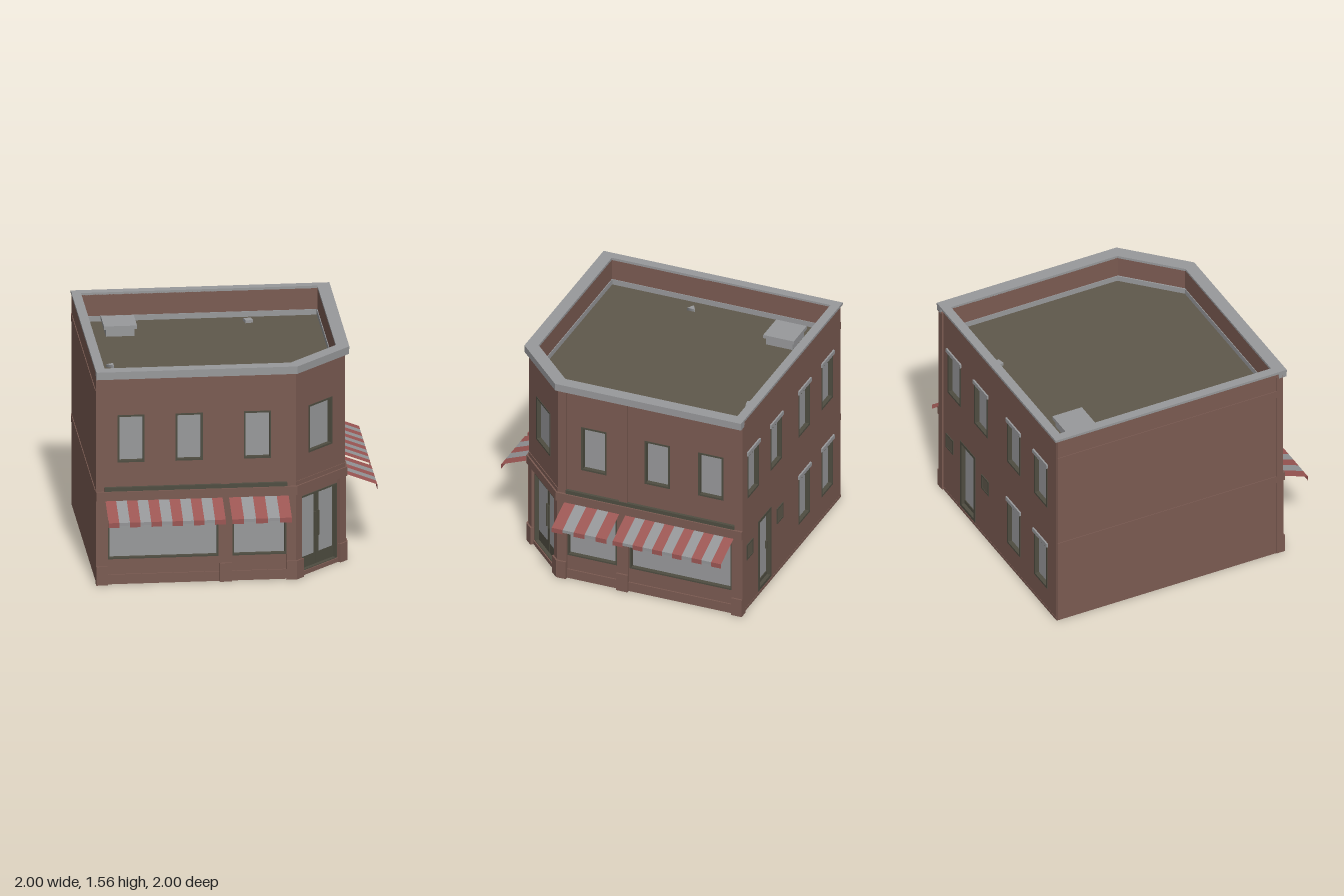
import * as THREE from 'three';

const mat = (name, color, side = THREE.FrontSide) => {
  const m = new THREE.MeshStandardMaterial({ color, side });
  m.name = name;
  return m;
};

export function createModel() {
  const brick = mat('brick', 0x7b5b52);
  const grey = mat('paleGrey', 0x98999b);
  const olive = mat('darkOlive', 0x4f4d41);
  const roofing = mat('roofing', 0x5f584b);
  const red = mat('awningRed', 0x9b5653, THREE.DoubleSide);
  const canvas = mat('awningGrey', 0x949597, THREE.DoubleSide);
  const model = new THREE.Group();
  model.name = 'cornerShop';

  const add = (parent, name, geo, material) => {
    const m = new THREE.Mesh(geo, material);
    m.name = name;
    parent.add(m);
    return m;
  };
  // Box given by its limits along each axis
  const box = (parent, name, material, x0, x1, y0, y1, z0, z1) => {
    const m = add(parent, name, new THREE.BoxGeometry(x1 - x0, y1 - y0, z1 - z0), material);
    m.position.set((x0 + x1) / 2, (y0 + y1) / 2, (z0 + z1) / 2);
    return m;
  };
  const outline = (pts) => pts.map(([x, y]) => new THREE.Vector2(x, y));
  const rect = ([x0, x1, y0, y1]) => outline([[x0, y0], [x1, y0], [x1, y1], [x0, y1]]);
  // Upright sheet with rectangular openings, between depths z0 and z1
  const sheet = (parent, name, material, r, holes, z0, z1) => {
    const s = new THREE.Shape(rect(r));
    holes.forEach((h) => s.holes.push(new THREE.Path(rect(h))));
    const m = add(parent, name, new THREE.ExtrudeGeometry(s, { depth: z1 - z0, bevelEnabled: false }), material);
    m.position.z = z0;
    return m;
  };
  // Flat plan outline in (x, z), between heights y0 and y1
  const slab = (name, material, pts, y0, y1, hole) => {
    const flip = (p) => outline(p.map(([x, z]) => [x, -z])).reverse();
    const s = new THREE.Shape(flip(pts));
    if (hole) s.holes.push(new THREE.Path(flip(hole)));
    const m = add(model, name, new THREE.ExtrudeGeometry(s, { depth: y1 - y0, bevelEnabled: false }), material);
    m.rotation.x = -Math.PI / 2;
    m.position.y = y0;
    return m;
  };
  const side = (name, angle) => {
    const g = new THREE.Group();
    g.name = name;
    g.rotation.y = angle;
    model.add(g);
    return g;
  };
  // Frame and recessed pane filling an opening in a wall whose face is at w
  const glaze = (g, r, w, t = 0.013) => {
    const [x0, x1, y0, y1] = r;
    const inner = [x0 + t, x1 - t, y0 + t, y1 - t];
    sheet(g, 'windowFrame', olive, r, [inner], w - 0.038, w + 0.003);
    box(g, 'windowPane', grey, ...inner, w - 0.037, w - 0.029);
  };
  // Striped awning with a hanging valance
  const awning = (g, x0, x1, count) => {
    const a = new THREE.Group();
    a.name = 'awning';
    g.add(a);
    const step = (x1 - x0) / count, drop = 0.09, reach = 0.235;
    for (let i = 0; i < count; i++) {
      const m = i % 2 ? canvas : red;
      const x = x0 + (i + 0.5) * step;
      const top = add(a, 'awningStripe', new THREE.PlaneGeometry(step, Math.hypot(drop, reach)), m);
      top.rotation.x = -Math.atan2(reach, drop);
      top.position.set(x, 0.615 - drop / 2, 1 - reach / 2);
      const h = i % 2 ? 0.022 : 0.035;
      const flap = add(a, 'awningValance', new THREE.PlaneGeometry(step, h), m);
      flap.position.set(x, 0.525 - h / 2, 1);
    }
  };

  // Two matching shop fronts, mirrored about the corner
  for (const s of [1, -1]) {
    const g = side(s > 0 ? 'frontFacade' : 'sideFacade', s > 0 ? 0 : Math.PI / 2);
    const span = (a, b) => (s > 0 ? [a, b] : [-b, -a]);
    const windows = [[-0.85, -0.66], [-0.445, -0.255], [0.03, 0.22]].map(([a, b]) => [...span(a, b), 0.885, 1.23]);
    const shops = [[-0.915, -0.145], [-0.05, 0.325]].map(([a, b]) => [...span(a, b), 0.18, 0.6]);
    sheet(g, 'wall', brick, [...span(-0.98, 0.38), 0, 1.545], [...windows, ...shops], 0.71, 0.755);
    windows.forEach((r) => glaze(g, r, 0.755));
    shops.forEach((r) => glaze(g, r, 0.755, 0.011));
    for (const [a, b] of [[-1, -0.94], [-0.13, -0.07], [0.33, 0.39]])
      box(g, 'upperPilaster', brick, ...span(a, b), 0.68, 1.52, 0.72, 0.77);
    for (const [a, b] of [[-1, -0.92], [-0.14, -0.055], [0.325, 0.395]]) {
      box(g, 'lowerPilaster', brick, ...span(a, b), 0, 0.62, 0.72, 0.775);
      box(g, 'pilasterBase', brick, ...span(a, b), 0, 0.135, 0.72, 0.788);
    }
    box(g, 'plinth', brick, ...span(-0.95, 0.36), 0, 0.07, 0.72, 0.765);
    box(g, 'beltCourse', brick, ...span(-1, 0.4), 0.615, 0.68, 0.72, 0.787);
    box(g, 'beltLedge', olive, ...span(-0.94, 0.33), 0.675, 0.708, 0.72, 0.777);
    awning(g, ...span(-0.935, -0.12), 11);
    awning(g, ...span(-0.075, 0.34), 5);
  }

  // Cut corner: flush upper wall, recessed double doors below
  const corner = side('cornerEntrance', Math.PI / 4);
  const cornerWindow = [-0.128, 0.128, 0.885, 1.23];
  sheet(corner, 'upperWall', brick, [-0.268, 0.268, 0.68, 1.545], [cornerWindow], 0.76, 0.82);
  glaze(corner, cornerWindow, 0.82);
  sheet(corner, 'lowerWall', brick, [-0.261, 0.261, 0, 0.68], [[-0.2, 0.2, 0.03, 0.575]], 0.76, 0.8);
  sheet(corner, 'doorFrame', olive, [-0.2, 0.2, 0.03, 0.575], [[-0.188, 0.188, 0.035, 0.563]], 0.765, 0.806);
  box(corner, 'doorStep', brick, -0.2, 0.2, 0, 0.03, 0.76, 0.815);
  box(corner, 'beltCourse', brick, -0.275, 0.275, 0.615, 0.68, 0.77, 0.836);
  box(corner, 'beltLedge', brick, -0.268, 0.268, 0.68, 0.71, 0.77, 0.825);
  for (const s of [-1, 1]) {
    const span = (a, b) => (s > 0 ? [a, b] : [-b, -a]);
    box(corner, 'door', olive, ...span(0.003, 0.19), 0.032, 0.565, 0.762, 0.778);
    box(corner, 'doorPane', grey, ...span(0.03, 0.175), 0.12, 0.55, 0.776, 0.782);
    box(corner, 'doorHandle', olive, ...span(0.014, 0.024), 0.24, 0.42, 0.778, 0.792);
    box(corner, 'lowerPilaster', brick, ...span(0.205, 0.271), 0, 0.62, 0.77, 0.826);
    box(corner, 'pilasterBase', brick, ...span(0.2, 0.275), 0, 0.135, 0.77, 0.838);
  }

  // Back wall, where local x runs opposite to the model's x
  const back = side('backWall', Math.PI);
  const at = (x, w, y0, y1) => [-x - w / 2, -x + w / 2, y0, y1];
  const rear = [0.557, 0.15, -0.345, -0.752].map((x) => at(x, 0.2, 0.88, 1.225));
  rear.push(...[-0.345, -0.752].map((x) => at(x, 0.2, 0.18, 0.545)));
  const backDoor = at(0.352, 0.23, 0.03, 0.59);
  sheet(back, 'wall', brick, [-0.765, 0.99, 0, 1.545], [...rear, backDoor], 0.935, 0.988);
  for (const r of rear) {
    glaze(back, r, 0.988, 0.015);
    box(back, 'lintel', grey, r[0] - 0.008, r[1] + 0.008, r[3], r[3] + 0.03, 0.96, 1);
  }
  glaze(back, backDoor, 0.988, 0.022);
  box(back, 'backDoorRail', olive, backDoor[0] + 0.02, backDoor[1] - 0.02, 0.05, 0.08, 0.955, 0.965);
  box(back, 'backDoorHandle', olive, -0.282, -0.272, 0.27, 0.33, 0.955, 0.975);
  for (const x of [0.622, 0.085]) {
    const r = at(x, 0.11, 0.395, 0.515);
    sheet(back, 'ventFrame', olive, r, [[r[0] + 0.012, r[1] - 0.012, 0.407, 0.503]], 0.98, 0.994);
    box(back, 'ventPlate', roofing, r[0] + 0.01, r[1] - 0.01, 0.405, 0.505, 0.983, 0.991);
  }

  // Plain party wall with two shallow bands
  const party = side('partyWall', -Math.PI / 2);
  box(party, 'wall', brick, -0.985, 0.749, 0, 1.545, 0.935, 0.995);
  box(party, 'lowerBand', brick, -0.985, 0.749, 0.61, 0.665, 0.95, 1);
  box(party, 'upperBand', brick, -0.985, 0.749, 1.345, 1.4, 0.95, 1);

  // Floor, roof deck, flashing and coping
  const ring = (lo, hi, cut) => [[lo, lo], [hi, lo], [hi, cut], [cut, hi], [lo, hi]];
  const inside = ring(-0.935, 0.71, 0.36);
  slab('floor', brick, ring(-0.99, 0.76, 0.385), 0, 0.02);
  slab('roofDeck', roofing, ring(-0.94, 0.715, 0.365), 1.32, 1.35);
  slab('roofFlashing', grey, ring(-0.94, 0.715, 0.365), 1.34, 1.39, ring(-0.93, 0.705, 0.357));
  slab('coping', grey, ring(-1, 0.8, 0.4), 1.542, 1.56, inside);
  slab('cornice', grey, [[0.798, -1], [0.798, 0.399], [0.399, 0.798], [-1, 0.798],
    [-1, 0.74], [0.375, 0.74], [0.74, 0.375], [0.74, -1]], 1.505, 1.55);

  // Roof hatch and small low vents
  box(model, 'roofHatch', grey, -0.795, -0.595, 1.34, 1.41, -0.795, -0.595);
  box(model, 'hatchLid', grey, -0.81, -0.58, 1.405, 1.43, -0.81, -0.58);
  const vent = box(model, 'roofVent', grey, 0.19, 0.245, 1.34, 1.37, -0.85, -0.795);
  vent.rotation.y = 0.2;
  const pipe = add(model, 'roofPipe', new THREE.CylinderGeometry(0.034, 0.034, 0.03, 3), grey);
  pipe.position.set(-0.825, 1.355, 0.06);
  pipe.rotation.y = -Math.PI / 2;
  return model;
}
